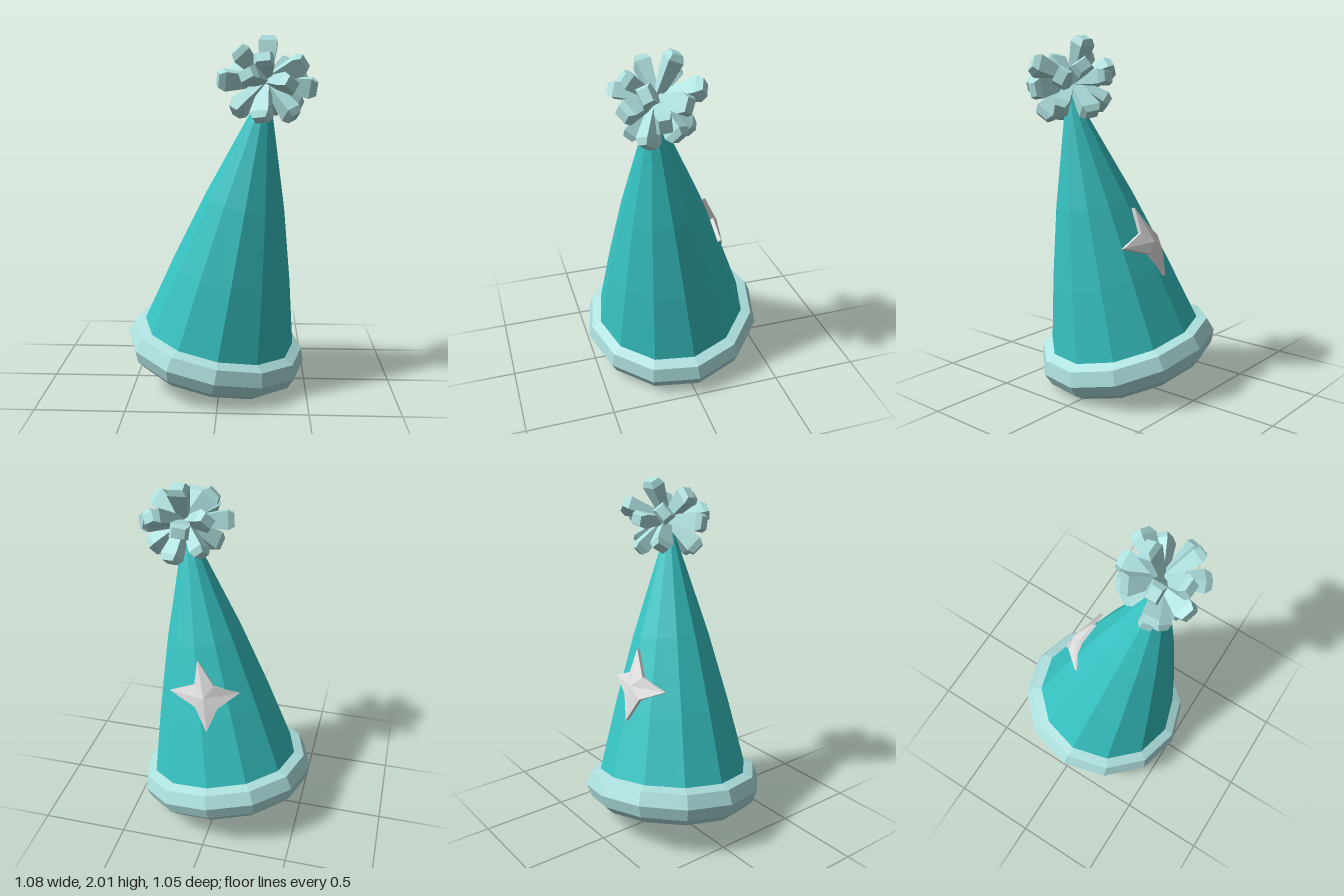
import * as THREE from 'three';

const teal = new THREE.MeshStandardMaterial({ color: 0x37c3c3, side: THREE.DoubleSide });
teal.name = 'teal felt';
const pale = new THREE.MeshStandardMaterial({ color: 0xaee1df });
pale.name = 'pale aqua trim';
const silver = new THREE.MeshStandardMaterial({ color: 0xdedede });
silver.name = 'silver';

// Faceted mesh: unshared vertices give every face its own normal
function facet(name, geometry, material) {
  const g = geometry.index ? geometry.toNonIndexed() : geometry;
  g.computeVertexNormals();
  const mesh = new THREE.Mesh(g, material);
  mesh.name = name;
  return mesh;
}

const lathe = (pairs, sides) =>
  new THREE.LatheGeometry(pairs.map(([r, y]) => new THREE.Vector2(r, y)), sides);

// Bend a round part so its front and back edges lift slightly
function bend(geometry) {
  geometry.rotateY(0.025);
  const p = geometry.attributes.position;
  for (let i = 0; i < p.count; i++) p.setY(i, p.getY(i) + 0.13 * p.getZ(i) ** 2);
  return geometry;
}

// Four-pointed star with a raised middle, draped over the back of the cone
function createStar() {
  const rim = [
    [0.11, 1.08, -0.16], [0.115, 0.945, -0.212], [0.26, 0.88, -0.208], [0.1, 0.83, -0.262],
    [0.02, 0.7, -0.31], [-0.03, 0.83, -0.25], [-0.13, 0.88, -0.14], [0.005, 0.945, -0.2],
  ].map((p) => new THREE.Vector3(...p));
  const centre = new THREE.Vector3(0.05, 0.89, -0.258);
  const inward = new THREE.Vector3(0.15, -0.35, 0.92).multiplyScalar(0.022);
  const back = rim.map((p) => p.clone().add(inward));
  const backCentre = centre.clone().add(inward);
  const points = [];
  rim.forEach((p, i) => {
    const j = (i + 1) % rim.length;
    points.push(centre, p, rim[j]);
    points.push(p, back[i], back[j], p, back[j], rim[j]);
    points.push(backCentre, back[j], back[i]);
  });
  return facet('star', new THREE.BufferGeometry().setFromPoints(points), silver);
}

// Pompom: flared, chamfered tufts pointing out from one centre
function createPompom() {
  const pompom = new THREE.Group();
  pompom.name = 'pompom';
  const tips = [
    [0.01, 0.235, -0.1], [-0.16, 0.17, 0.04], [-0.02, 0.13, 0.17], [0.2, 0.1, 0.11],
    [-0.26, 0.01, 0.07], [-0.11, 0.04, 0.22], [0.27, -0.04, 0.035], [0.13, -0.01, 0.21],
    [-0.17, -0.16, 0.1], [-0.03, -0.2, 0.14], [0.15, -0.19, 0.09], [-0.17, 0.08, -0.15],
    [-0.03, 0.03, -0.235], [0.14, 0.09, -0.21], [0.21, 0.03, -0.11], [-0.13, -0.13, -0.14],
    [0.04, -0.17, -0.18], [0.18, -0.15, -0.07],
  ];
  const up = new THREE.Vector3(0, 1, 0);
  tips.forEach((tip) => {
    const dir = new THREE.Vector3(...tip);
    const length = dir.length();
    dir.normalize();
    const g = lathe([[0, 0], [0.03, 0.01], [0.067, length - 0.035], [0.046, length], [0, length]], 4);
    g.rotateY(Math.PI / 4);
    g.scale(1.12, 1, 0.85);
    const tuft = facet('tuft', g, pale);
    tuft.quaternion.setFromUnitVectors(up, dir);
    pompom.add(tuft);
  });
  pompom.position.set(0.255, 1.765, 0.163);
  return pompom;
}

export function createModel() {
  const model = new THREE.Group();
  model.name = 'partyHat';

  // Leaning cone and rolled brim share one tilted axis
  const body = new THREE.Group();
  body.name = 'hatBody';
  const axis = new THREE.Vector3(0.185, 1, 0.122).normalize();
  body.quaternion.setFromUnitVectors(new THREE.Vector3(0, 1, 0), axis);
  body.position.set(-0.025, 0.2, 0);

  const cone = lathe([[0.455, 0.04], [0.443, 0.1], [0.343, 0.5], [0.226, 0.92], [0.082, 1.36], [0.015, 1.56]], 12);
  body.add(facet('cone', bend(cone), teal));

  const brim = lathe([
    [0.39, -0.125], [0.45, -0.11], [0.5, -0.07], [0.527, 0], [0.5, 0.08],
    [0.438, 0.105], [0.375, 0.08], [0.37, -0.07], [0.39, -0.125],
  ], 12);
  body.add(facet('brim', bend(brim), pale));

  model.add(body, createPompom(), createStar());
  return model;
}
